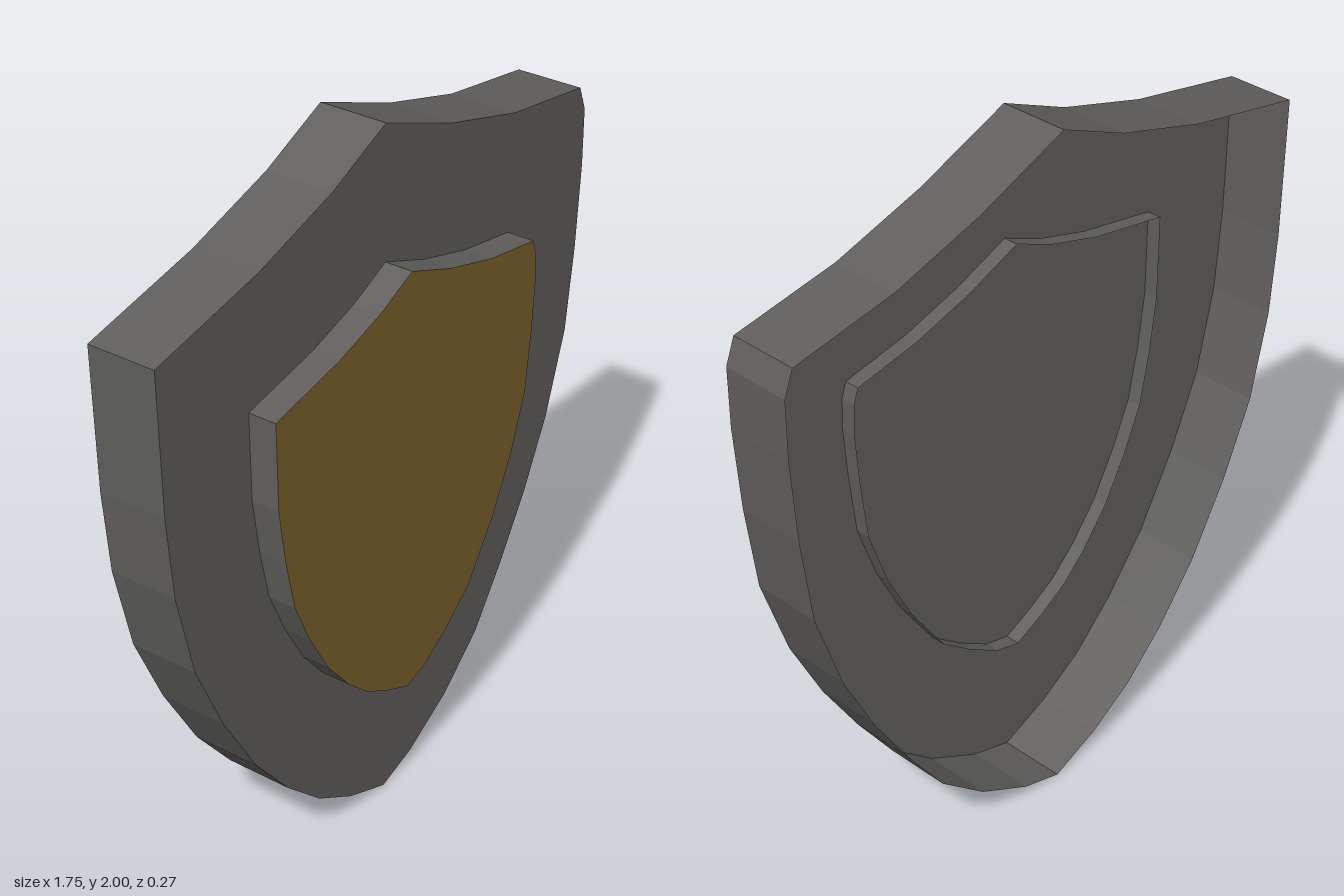
import * as THREE from 'three';

const STEEL = 0x605f5d;
const BRONZE = 0x7c612e;

const material = (color) =>
  new THREE.MeshStandardMaterial({ color, flatShading: true, side: THREE.DoubleSide });

// Outlines [x, y], clockwise from the top peak as seen from the front
const bodyOutline = [
  [-0.018, 2], [0.262, 1.89], [0.535, 1.81], [0.848, 1.76], [0.875, 1.69], [0.875, 1.525],
  [0.858, 1.287], [0.826, 1.044], [0.746, 0.805], [0.646, 0.604], [0.534, 0.424],
  [0.418, 0.26], [0.27, 0.132], [0.105, 0.04], [-0.022, 0], [-0.172, 0.064],
  [-0.31, 0.151], [-0.442, 0.278], [-0.57, 0.44], [-0.691, 0.652], [-0.787, 0.869],
  [-0.845, 1.118], [-0.866, 1.351], [-0.875, 1.748], [-0.506, 1.823], [-0.23, 1.907],
];
const panelOutline = [
  [-0.019, 1.632], [0.146, 1.566], [0.326, 1.513], [0.521, 1.478], [0.535, 1.436], [0.538, 1.35],
  [0.527, 1.208], [0.506, 1.033], [0.448, 0.869], [0.368, 0.71], [0.257, 0.546],
  [0.156, 0.466], [0.056, 0.403], [-0.024, 0.381], [-0.114, 0.424], [-0.204, 0.477],
  [-0.283, 0.551], [-0.368, 0.657], [-0.442, 0.79], [-0.5, 0.922], [-0.532, 1.075],
  [-0.554, 1.234], [-0.557, 1.478], [-0.31, 1.526], [-0.146, 1.576],
];

// Flat face filling an outline
function faceGeometry(outline, z) {
  const shape = new THREE.Shape(outline.map(([x, y]) => new THREE.Vector2(x, y)));
  return new THREE.ShapeGeometry(shape).translate(0, 0, z);
}

// Thin wall following an outline
function wallGeometry(outline, back, front) {
  const positions = [];
  outline.forEach((a, i) => {
    const b = outline[(i + 1) % outline.length];
    positions.push(...a, front, ...b, front, ...b, back);
    positions.push(...a, front, ...b, back, ...a, back);
  });
  const geometry = new THREE.BufferGeometry();
  geometry.setAttribute('position', new THREE.Float32BufferAttribute(positions, 3));
  geometry.computeVertexNormals();
  return geometry;
}

// Open-backed shell: front face plus surrounding wall
function shell(name, outline, back, front, faceColor) {
  const group = new THREE.Group();
  group.name = name;
  const face = new THREE.Mesh(faceGeometry(outline, front), material(faceColor));
  face.name = name + 'Face';
  const wall = new THREE.Mesh(wallGeometry(outline, back, front), material(STEEL));
  wall.name = name + 'Wall';
  group.add(face, wall);
  return group;
}

export function createModel() {
  const model = new THREE.Group();
  model.name = 'shield';
  // Hollow body, open at the back
  model.add(shell('body', bodyOutline, -0.135, 0.056, STEEL));
  // Raised panel whose wall passes through the body face, leaving a low rim behind it
  model.add(shell('centerPanel', panelOutline, 0.015, 0.135, BRONZE));
  return model;
}
